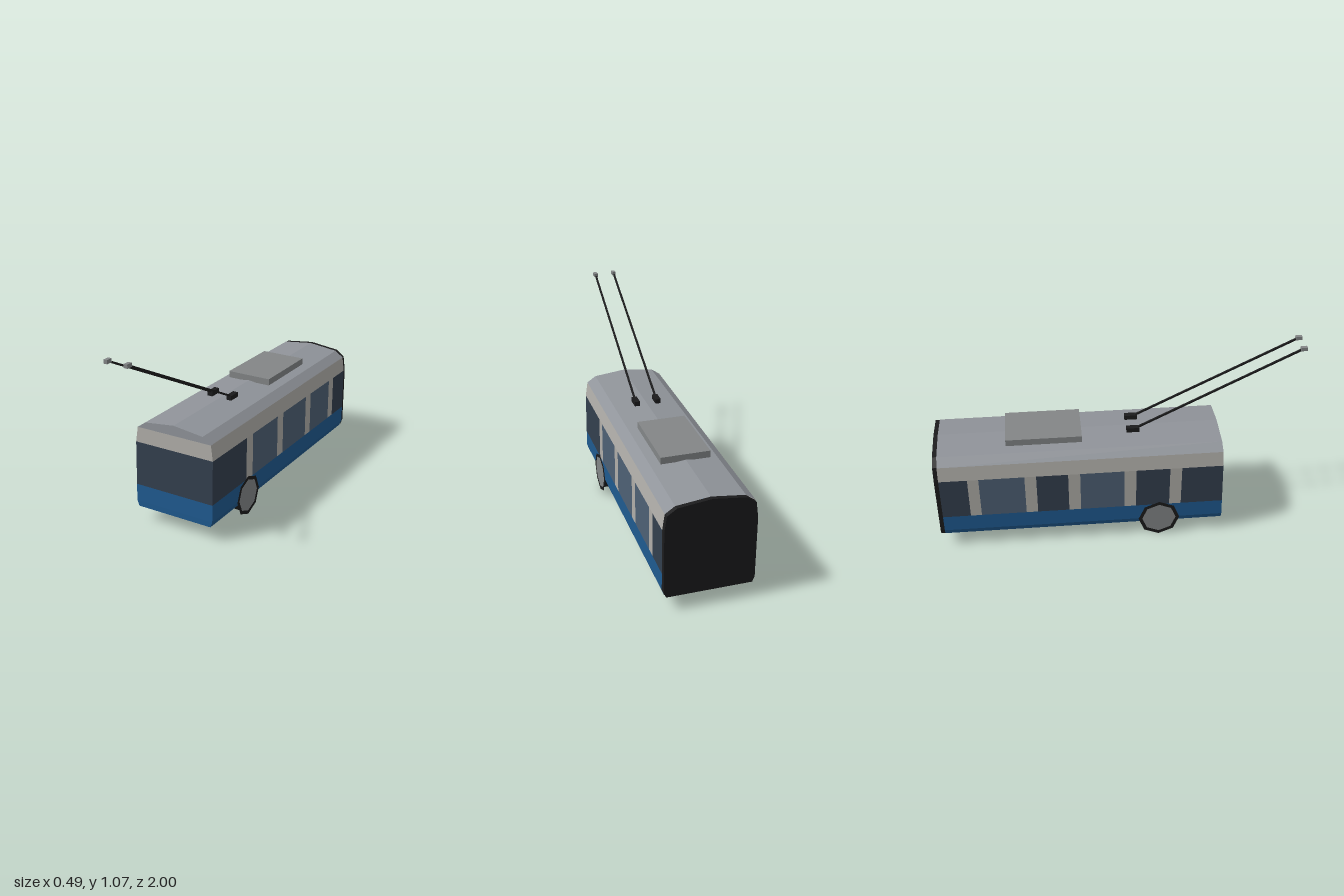
import * as THREE from 'three';

const BLUE = 0x1f5a90, DARK = 0x333f4e, GLASS = 0x4e6074, CREAM = 0xb0aea9;
const ROOF = 0x8f9399, GREY = 0x838687, BLACK = 0x1b1b1c;

// half cross-section of the body (x, y), from floor to roof ridge
const P = [[0.225, 0.083], [0.237, 0.115], [0.237, 0.21], [0.237, 0.455], [0.225, 0.54], [0.175, 0.575], [0, 0.596]];
const BAND = [BLUE, BLUE, null, CREAM, ROOF, ROOF];
const REAR = -0.977;

// the front leans back a little towards the roof
const frontZ = (y) => 0.571 - Math.max(0, y - 0.115) * 0.03;

function mat(color, side = THREE.FrontSide) {
  return new THREE.MeshStandardMaterial({ color, flatShading: true, side });
}

function add(parent, name, geometry, color, side) {
  const mesh = new THREE.Mesh(geometry, mat(color, side));
  mesh.name = name;
  parent.add(mesh);
  return mesh;
}

function box(parent, name, size, pos, color) {
  const mesh = add(parent, name, new THREE.BoxGeometry(...size), color);
  mesh.position.set(...pos);
  return mesh;
}

// flat four-cornered panel
function quad(parent, name, corners, color) {
  const [a, b, c, d] = corners;
  const g = new THREE.BufferGeometry();
  g.setAttribute('position', new THREE.Float32BufferAttribute([a, b, c, a, c, d].flat(), 3));
  g.computeVertexNormals();
  return add(parent, name, g, color, THREE.DoubleSide);
}

// side panel between profile points i and i+1, from z0 (rear) to z1 (null: up to the front)
function sidePanel(parent, name, s, i, z0, z1, color) {
  const [[xa, ya], [xb, yb]] = [P[i], P[i + 1]];
  const c = [
    [s * xa, ya, z1 ?? frontZ(ya)], [s * xa, ya, z0],
    [s * xb, yb, z0], [s * xb, yb, z1 ?? frontZ(yb)],
  ];
  quad(parent, name, s > 0 ? c : c.reverse(), color);
}

// window rows as [rear z, front z, colour]; null reaches the windscreen
const WINDOWS = {
  right: [[REAR, -0.825, DARK], [-0.765, -0.52, GLASS], [-0.457, -0.285, DARK],
    [-0.22, 0.02, GLASS], [0.085, 0.27, DARK], [0.335, null, DARK]],
  left: [[REAR, -0.825, DARK], [-0.765, -0.52, GLASS], [-0.457, -0.18, GLASS],
    [-0.115, 0.16, GLASS], [0.225, null, DARK]],
};

function createBody() {
  const body = new THREE.Group();
  body.name = 'body';

  for (const [label, s] of [['left', 1], ['right', -1]]) {
    // skirt, upper band and roof
    BAND.forEach((color, i) => {
      if (color) sidePanel(body, i < 2 ? 'skirt' : i === 3 ? 'upperBand' : 'roof', s, i, REAR, null, color);
    });
    // windows with pillars filling the gaps
    const row = WINDOWS[label];
    row.forEach(([z0, z1, color], k) => {
      sidePanel(body, label + 'Window', s, 2, z0, z1, color);
      if (k + 1 < row.length) sidePanel(body, label + 'Pillar', s, 2, z1, row[k + 1][0], CREAM);
    });
  }

  // front face, one strip per level
  for (let i = 0; i < P.length - 1; i++) {
    const [[xa, ya], [xb, yb]] = [P[i], P[i + 1]];
    const za = frontZ(ya), zb = frontZ(yb);
    const name = i === 2 ? 'windscreen' : 'frontPanel';
    quad(body, name, [[-xa, ya, za], [xa, ya, za], [xb, yb, zb], [-xb, yb, zb]], BAND[i] ?? DARK);
  }

  // floor
  const [x, y] = P[0], z = frontZ(y);
  quad(body, 'floor', [[-x, y, REAR], [x, y, REAR], [x, y, z], [-x, y, z]], BLACK);

  // dark closing frame at the rear
  const outline = [...P, ...P.slice(0, -1).reverse().map(([px, py]) => [-px, py])];
  const shape = new THREE.Shape(outline.map(([px, py]) => new THREE.Vector2(px * 0.985, py)));
  const frame = new THREE.ExtrudeGeometry(shape, { depth: 0.023, bevelEnabled: false });
  add(body, 'rearFrame', frame, BLACK).position.z = -1;
  return body;
}

// eight-sided wheel: dark tread, grey caps, flat tyre ring on the outside
function createWheel(s) {
  const wheel = new THREE.Group();
  wheel.name = s > 0 ? 'leftWheel' : 'rightWheel';
  const drum = new THREE.CylinderGeometry(0.094, 0.094, 0.045, 8);
  drum.rotateZ(Math.PI / 2);
  const hub = new THREE.Mesh(drum, [mat(BLACK), mat(GREY), mat(GREY)]);
  hub.name = 'hub';
  wheel.add(hub);
  const ring = new THREE.RingGeometry(0.094, 0.115, 8, 1);
  ring.rotateY(s * Math.PI / 2);
  add(wheel, 'tyre', ring, BLACK, THREE.DoubleSide).position.x = s * 0.0225;
  wheel.position.set(s * 0.2205, 0.115, 0.215);
  return wheel;
}

// current collector: foot, slanted pole and contact head
function createPole(s) {
  const group = new THREE.Group();
  group.name = s > 0 ? 'leftCollector' : 'rightCollector';
  box(group, 'foot', [0.03, 0.026, 0.07], [s * 0.06, 0.609, 0.082], BLACK);
  const a = new THREE.Vector3(s * 0.06, 0.61, 0.09), b = new THREE.Vector3(s * 0.057, 1.06, 0.975);
  const pole = box(group, 'pole', [0.01, 0.01, a.distanceTo(b)], [0, 0, 0], BLACK);
  pole.position.lerpVectors(a, b, 0.5);
  pole.lookAt(b);
  box(group, 'contactHead', [0.021, 0.02, 0.034], [s * 0.057, 1.064, 0.983], GREY);
  return group;
}

export function createModel() {
  const model = new THREE.Group();
  model.name = 'trolleybus';
  model.add(createBody());
  box(model, 'roofUnit', [0.26, 0.037, 0.41], [0, 0.6085, -0.405], GREY);
  for (const s of [1, -1]) model.add(createWheel(s), createPole(s));
  return model;
}
